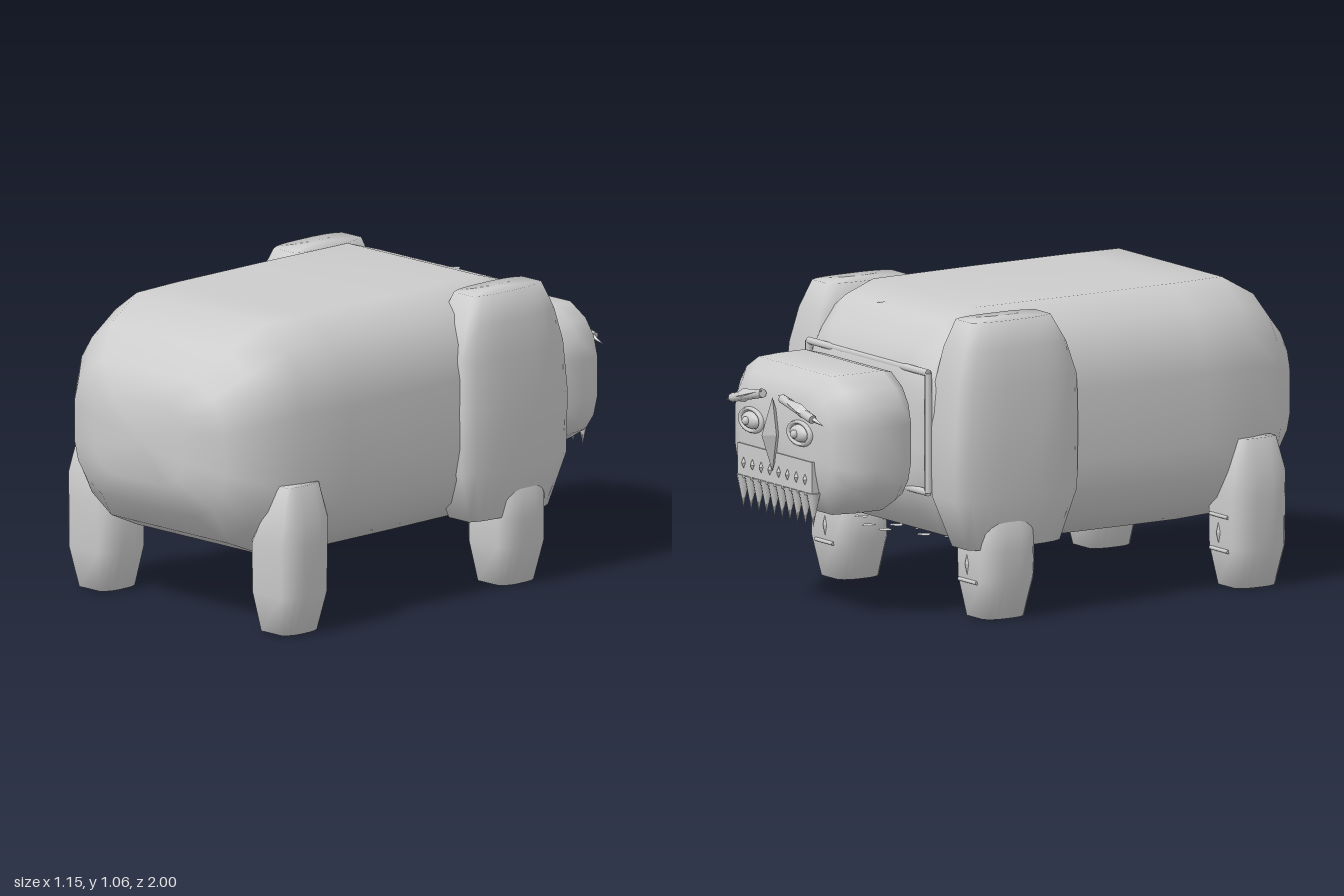
import * as THREE from 'three';

// Upper-right quarter of a soft, flat-sided cross-section of half size 1
const CORNER = [[1, 0.3], [0.95, 0.58], [0.84, 0.81], [0.63, 1]];
const SECTION = [
  ...CORNER,
  ...[...CORNER].reverse().map(([x, y]) => [-x, y]),
  ...CORNER.map(([x, y]) => [-x, -y]),
  ...[...CORNER].reverse().map(([x, y]) => [x, -y]),
];

// Skins rings [z, centreX, centreY, halfX, halfY], listed by rising z, and closes both ends
function loft(rings) {
  const n = SECTION.length, pos = [], index = [];
  for (const [z, cx, cy, hx, hy] of rings)
    for (const [u, v] of SECTION) pos.push(cx + u * hx, cy + v * hy, z);
  for (let r = 0; r < rings.length - 1; r++)
    for (let i = 0; i < n; i++) {
      const a = r * n + i, b = r * n + (i + 1) % n;
      index.push(a, b, b + n, a, b + n, a + n);
    }
  const last = rings[rings.length - 1], first = rings[0], c = rings.length * n;
  pos.push(first[1], first[2], first[0], last[1], last[2], last[0]);
  for (let i = 0; i < n; i++) {
    const j = (i + 1) % n;
    index.push(c, j, i, c + 1, c - n + i, c - n + j);
  }
  const geo = new THREE.BufferGeometry();
  geo.setAttribute('position', new THREE.Float32BufferAttribute(pos, 3));
  geo.setIndex(index);
  geo.computeVertexNormals();
  return geo;
}

// Upright version: rings are [y, centreX, centreZ, halfX, halfZ]
const loftUp = (rings) =>
  loft(rings.map(([y, cx, cz, hx, hz]) => [y, cx, -cz, hx, hz])).rotateX(-Math.PI / 2);

export function createModel() {
  const model = new THREE.Group();
  const smooth = new THREE.MeshStandardMaterial({ color: 0xcccccc });
  const flat = new THREE.MeshStandardMaterial({ color: 0xcccccc, flatShading: true });

  function add(name, geo, x = 0, y = 0, z = 0, mat = smooth, parent = model) {
    const mesh = new THREE.Mesh(geo, mat);
    mesh.name = name;
    mesh.position.set(x, y, z);
    parent.add(mesh);
    return mesh;
  }
  // Thin rod between two points
  function rod(name, a, b, radius, parent = model) {
    const from = new THREE.Vector3(...a), to = new THREE.Vector3(...b);
    const mid = from.clone().add(to).multiplyScalar(0.5);
    const m = add(name, new THREE.CylinderGeometry(radius, radius, from.distanceTo(to), 8),
      mid.x, mid.y, mid.z, smooth, parent);
    m.quaternion.setFromUnitVectors(new THREE.Vector3(0, 1, 0), to.sub(from).normalize());
  }
  const diamond = (sx, sy, sz) => new THREE.OctahedronGeometry(1).scale(sx, sy, sz);

  // Trunk
  add('body', loft([
    [-0.58, 0, 0.64, 0.3, 0.19],
    [-0.53, 0, 0.64, 0.42, 0.29],
    [-0.45, 0, 0.645, 0.48, 0.375],
    [-0.32, 0, 0.645, 0.51, 0.415],
    [0.1, 0, 0.645, 0.525, 0.415],
    [0.5, 0, 0.645, 0.525, 0.415],
    [0.7, 0, 0.648, 0.505, 0.412],
    [0.85, 0, 0.64, 0.46, 0.34],
    [0.95, 0, 0.64, 0.37, 0.24],
    [1, 0, 0.64, 0.22, 0.14],
  ]));

  // Head, looking towards -z
  add('head', loft([
    [-0.94, 0, 0.62, 0.22, 0.13],
    [-0.91, 0, 0.615, 0.3, 0.2],
    [-0.86, 0, 0.615, 0.36, 0.243],
    [-0.77, 0, 0.615, 0.38, 0.245],
    [-0.66, 0, 0.615, 0.38, 0.245],
    [-0.6, 0, 0.615, 0.33, 0.23],
    [-0.56, 0, 0.615, 0.25, 0.14],
  ]));

  // Collar rods around the neck
  const collar = [[0.37, 0.86], [-0.37, 0.86], [-0.37, 0.44], [0.37, 0.44]];
  collar.forEach(([x, y], i) => {
    const [x2, y2] = collar[(i + 1) % 4];
    rod('collarRod', [x, y, -0.555], [x2, y2, -0.555], 0.013);
  });

  for (const s of [1, -1]) {
    // Shoulders
    add('shoulder', loftUp([
      [0.25, s * 0.455, -0.29, 0.08, 0.19],
      [0.43, s * 0.455, -0.295, 0.115, 0.253],
      [0.65, s * 0.455, -0.295, 0.12, 0.255],
      [0.83, s * 0.452, -0.287, 0.118, 0.245],
      [0.95, s * 0.448, -0.29, 0.105, 0.21],
      [1.045, s * 0.445, -0.295, 0.075, 0.165],
    ]));

    // Legs, each with claw marks on the -z face
    for (const [name, z, top] of [['hindLeg', 0.715, 0.525], ['frontLeg', -0.33, 0.4]]) {
      const leg = new THREE.Group();
      leg.name = name;
      model.add(leg);
      add(name + 'Limb', loftUp([
        [0, s * 0.45, z, 0.08, 0.085],
        [0.14, s * 0.453, z, 0.112, 0.11],
        [top * 0.6, s * 0.453, z, 0.112, 0.112],
        [top * 0.77, s * 0.478, z, 0.088, 0.105],
        [top, s * 0.5, z, 0.032, 0.075],
      ]), 0, 0, 0, smooth, leg);
      const zf = z - 0.11;
      rod('clawMark', [s * 0.39, 0.25, zf], [s * 0.5, 0.25, zf], 0.007, leg);
      rod('clawMark', [s * 0.39, 0.13, zf], [s * 0.5, 0.13, zf], 0.007, leg);
      add('clawDiamond', diamond(0.012, 0.04, 0.01), s * 0.44, 0.19, zf, flat, leg);
    }

    // Eyes: ball, rim and a brow that droops outwards
    add('eye', new THREE.SphereGeometry(1, 16, 10).scale(0.055, 0.03, 0.025), s * 0.15, 0.655, -0.94);
    add('eyeRim', new THREE.TorusGeometry(0.065, 0.012, 6, 20).scale(1, 0.6, 1), s * 0.15, 0.655, -0.94);
    add('pupil', new THREE.SphereGeometry(0.015, 10, 8), s * 0.15, 0.655, -0.965);
    const brow = add('brow', diamond(0.135, 0.024, 0.022), s * 0.175, 0.74, -0.955, flat);
    brow.rotation.set(0, s * -0.08, s * -0.28);
    rod('browRod', [s * 0.06, 0.765, -0.955], [s * 0.25, 0.72, -0.955], 0.016);
  }

  // Nose ridge
  add('nose', diamond(0.025, 0.13, 0.045), 0, 0.63, -0.955, flat);

  // Jaw plate with small studs and a row of hanging teeth
  add('jawPlate', new THREE.BoxGeometry(0.46, 0.12, 0.05), 0, 0.505, -0.92, flat);
  for (let i = 0; i < 8; i++)
    add('stud', diamond(0.011, 0.02, 0.01), -0.19 + i * 0.0543, 0.5, -0.947, flat);
  for (let i = 0; i < 10; i++) {
    const tooth = add('tooth', new THREE.ConeGeometry(0.025, 0.12, 8), -0.216 + i * 0.048, 0.395, -0.93);
    tooth.rotation.x = Math.PI;
  }

  // Loose thin flakes above and below the chest [x, z]
  const upper = [[-0.38, -0.47], [-0.16, -0.4], [-0.08, -0.4], [0.06, -0.38], [0.09, -0.43],
    [0.27, -0.4], [-0.34, -0.28], [0.34, -0.31], [0.35, -0.26]];
  const lower = [[-0.28, -0.4], [-0.2, -0.46], [-0.1, -0.4], [0, -0.44], [0.1, -0.4],
    [0.2, -0.45], [0.3, -0.42], [-0.05, -0.52], [0.05, -0.52]];
  for (const [x, z] of upper)
    add('flake', diamond(0.03, 0.004, 0.03), x, 1.025 - Math.max(0, Math.abs(x) - 0.3), z, flat);
  for (const [x, z] of lower) add('flake', diamond(0.03, 0.004, 0.03), x, 0.258, z, flat);

  return model;
}
